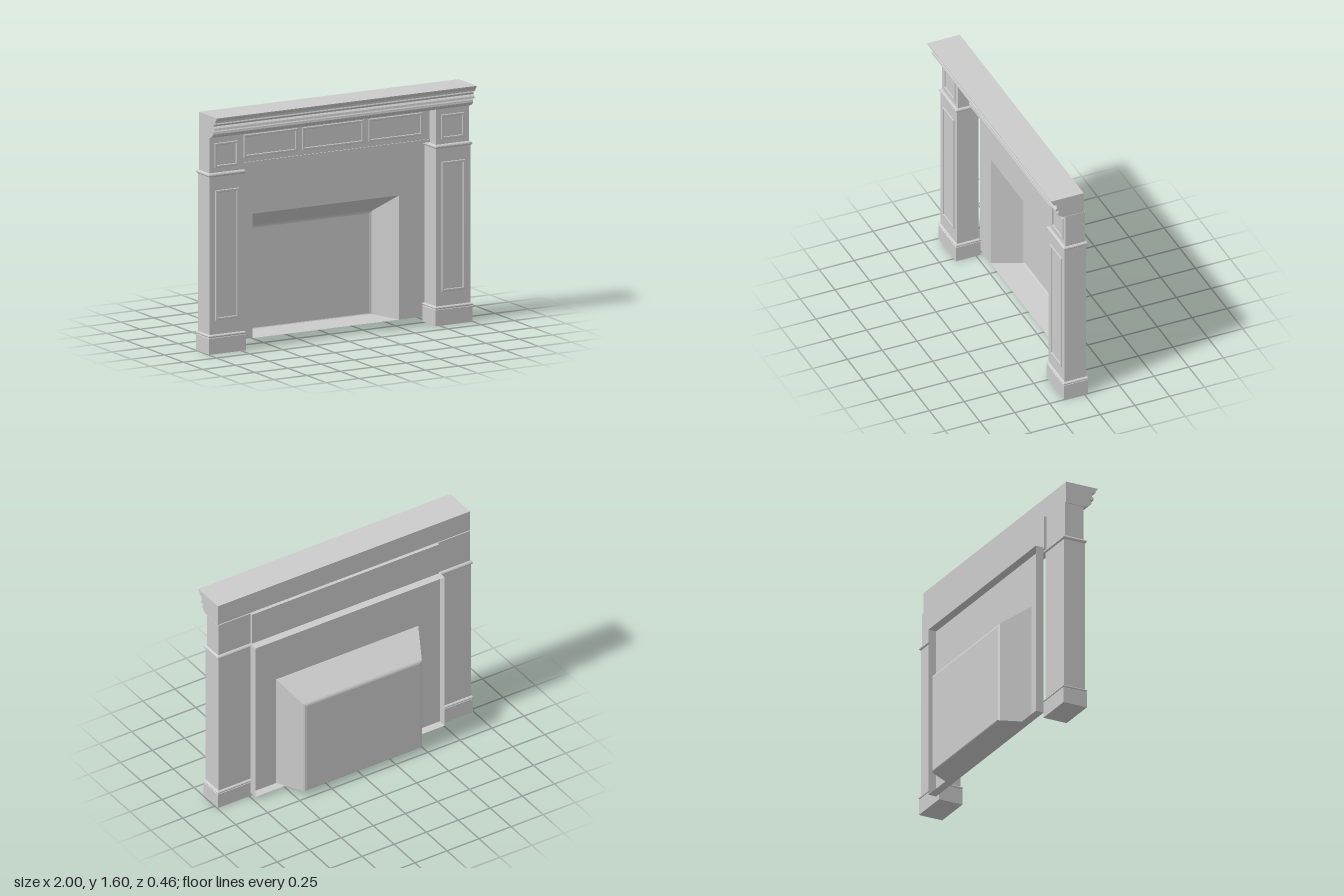
import * as THREE from 'three';

const solid = new THREE.MeshStandardMaterial({ color: 0xcccccc });
const thin = new THREE.MeshStandardMaterial({ color: 0xcccccc, side: THREE.DoubleSide });

function add(parent, name, geometry, material = solid) {
  const mesh = new THREE.Mesh(geometry, material);
  mesh.name = name;
  parent.add(mesh);
  return mesh;
}

// Skin four-cornered rings with flat faces, optionally closing the ends
function loft(rings, capStart, capEnd) {
  const pos = [];
  const quad = (a, b, c, d) => pos.push(...a, ...b, ...c, ...a, ...c, ...d);
  for (let r = 0; r < rings.length - 1; r++) {
    const a = rings[r], b = rings[r + 1];
    for (let i = 0; i < 4; i++) {
      const j = (i + 1) % 4;
      quad(a[i], a[j], b[j], b[i]);
    }
  }
  if (capStart) quad(...[...rings[0]].reverse());
  if (capEnd) quad(...rings[rings.length - 1]);
  const g = new THREE.BufferGeometry();
  g.setAttribute('position', new THREE.Float32BufferAttribute(pos, 3));
  g.computeVertexNormals();
  return g;
}

// Upright rectangle facing the front, and level rectangle grown by an offset
const uprightRing = (x0, x1, y0, y1, z) => [[x0, y0, z], [x0, y1, z], [x1, y1, z], [x1, y0, z]];
const levelRing = (cx, cz, hw, hd, y) =>
  [[cx - hw, y, cz + hd], [cx + hw, y, cz + hd], [cx + hw, y, cz - hd], [cx - hw, y, cz - hd]];

function box(parent, name, x0, x1, y0, y1, z0, z1) {
  const g = new THREE.BoxGeometry(x1 - x0, y1 - y0, z1 - z0);
  g.translate((x0 + x1) / 2, (y0 + y1) / 2, (z0 + z1) / 2);
  return add(parent, name, g);
}

function rectPath(P, x0, x1, y0, y1) {
  const p = new P();
  p.moveTo(x0, y0).lineTo(x1, y0).lineTo(x1, y1).lineTo(x0, y1).closePath();
  return p;
}

// Raised moulding frame on a flat face
function panelFrame(parent, name, x0, x1, y0, y1, z, height = 0.008) {
  const b = 0.004, w = 0.016;
  const shape = rectPath(THREE.Shape, x0 + b, x1 - b, y0 + b, y1 - b);
  shape.holes.push(rectPath(THREE.Path, x0 + w - b, x1 - w + b, y0 + w - b, y1 - w + b));
  const g = new THREE.ExtrudeGeometry(shape, {
    depth: height - b, bevelEnabled: true, bevelSize: b, bevelThickness: b, bevelSegments: 2,
  });
  g.translate(0, 0, z);
  add(parent, name, g);
}

export function createModel() {
  const model = new THREE.Group();
  model.name = 'fireplace';

  // Mantel shelf: stepped crown profile (z, y) drawn along x
  const crown = [
    [-0.005, 1.45], [0.125, 1.45], [0.15, 1.455], [0.168, 1.465], [0.183, 1.482], [0.18, 1.497],
    [0.172, 1.508], [0.2, 1.511], [0.197, 1.525], [0.185, 1.537], [0.193, 1.55], [0.188, 1.56],
    [0.212, 1.564], [0.215, 1.578], [0.228, 1.592], [0.23, 1.6], [-0.005, 1.6],
  ];
  const shelfShape = new THREE.Shape(crown.map(([z, y]) => new THREE.Vector2(-z, y)));
  const shelf = new THREE.ExtrudeGeometry(shelfShape, { depth: 1.966, bevelEnabled: false });
  shelf.rotateY(Math.PI / 2).translate(-0.987, 0, 0);
  add(model, 'mantelShelf', shelf);

  // Pilasters: plinth, shaft and cap in one (y, outward offset) profile
  const pilaster = [
    [0, 0.01], [0.107, 0.01], [0.109, 0.007], [0.113, 0.007], [0.115, 0.011], [0.12, 0.013],
    [0.125, 0.01], [0.129, 0.002], [0.13, 0], [1.186, 0], [1.188, 0.004], [1.193, 0.009],
    [1.199, 0.01], [1.205, 0.008], [1.21, 0.003], [1.212, 0],
  ];
  for (const [s, side] of [[1, 'left'], [-1, 'right']]) {
    const g = new THREE.Group();
    g.name = side + 'Pilaster';
    model.add(g);
    const cx = s * 0.856;
    add(g, 'shaft', loft(pilaster.map(([y, o]) => levelRing(cx, 0.058, 0.129 + o, 0.077 + o, y)), true, true));
    panelFrame(g, 'shaftPanel', cx - 0.088, cx + 0.088, 0.225, 1.095, 0.135);
    box(g, 'cornerBlock', cx - 0.125, cx + 0.125, 1.21, 1.45, -0.012, 0.126);
    panelFrame(g, 'blockPanel', cx - 0.088, cx + 0.088, 1.245, 1.41, 0.126);
  }

  // Frieze with three framed panels
  const frieze = new THREE.Group();
  frieze.name = 'frieze';
  model.add(frieze);
  box(frieze, 'friezeBoard', -0.731, 0.731, 1.215, 1.45, -0.03, 0.04);
  box(frieze, 'friezeBead', -0.731, 0.731, 1.215, 1.235, 0.03, 0.047);
  for (const [x0, x1] of [[-0.674, -0.27], [-0.233, 0.233], [0.27, 0.676]])
    panelFrame(frieze, 'friezePanel', x0, x1, 1.267, 1.42, 0.04);

  // Surround: thin front sheet with an opening and a rim turned back
  const zf = -0.035, zb = -0.093, bottom = 0.03;
  const L = -0.733, R = 0.745, oL = -0.564, oR = 0.545, oT = 0.863;
  const sheet = new THREE.Shape([
    [L, bottom], [oL, bottom], [oL, oT], [oR, oT], [oR, bottom], [R, bottom], [R, 1.222], [L, 1.222],
  ].map(([x, y]) => new THREE.Vector2(x, y)));
  add(model, 'surround', new THREE.ShapeGeometry(sheet).translate(0, 0, zf), thin);
  add(model, 'surroundRim', loft([
    uprightRing(L, R, bottom, 1.222, zf), uprightRing(L, R, bottom, 1.222, zb)], false, false), thin);

  // Firebox: tapering recess with a closed, softly edged back
  add(model, 'firebox', loft([
    uprightRing(oL, oR, 0.031, oT, zf),
    uprightRing(-0.472, 0.453, 0.04, 0.738, -0.22),
    uprightRing(-0.463, 0.444, 0.043, 0.729, -0.227),
    uprightRing(-0.45, 0.431, 0.048, 0.718, -0.23),
  ], false, true), thin);

  return model;
}
